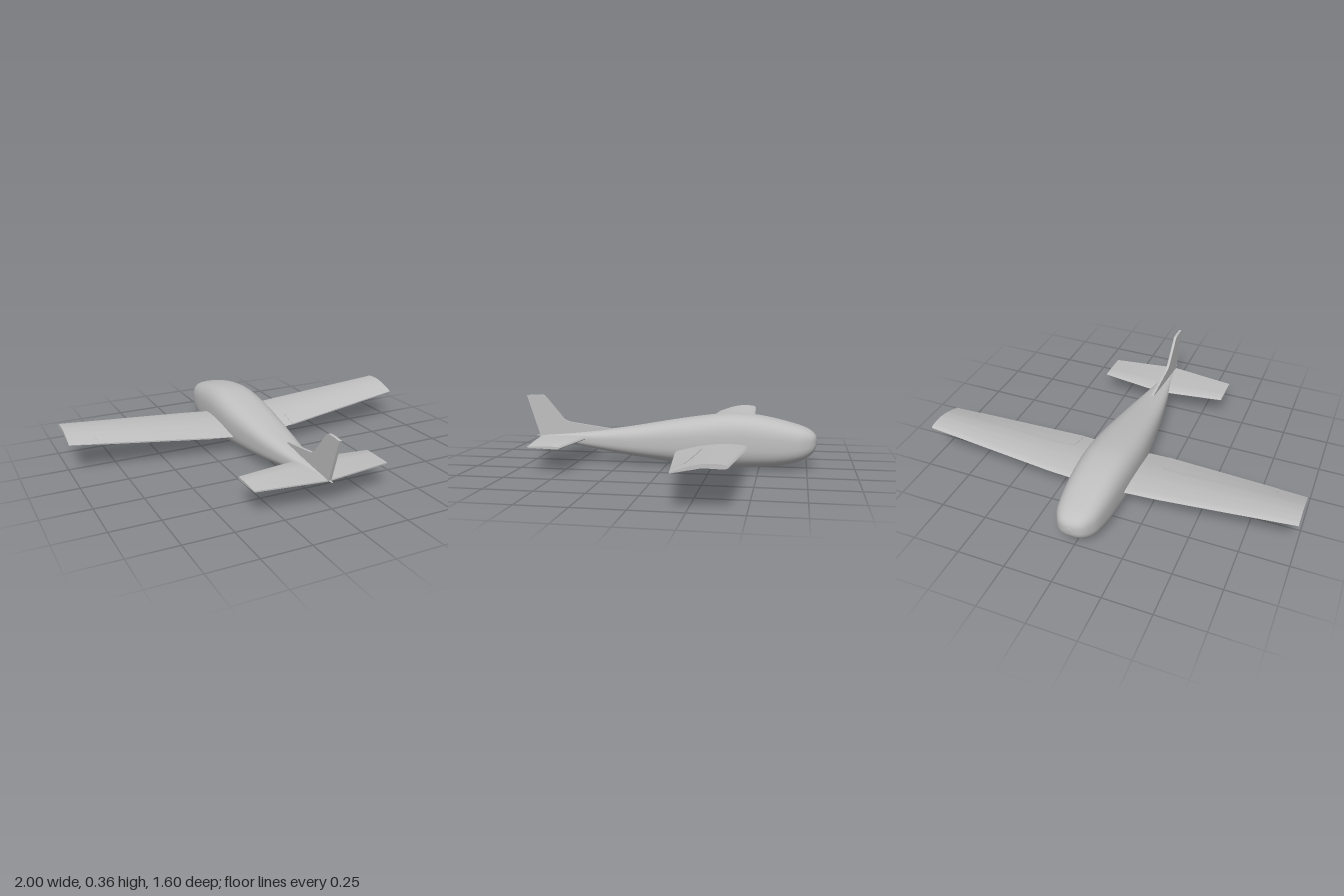
import * as THREE from 'three';
import { toCreasedNormals } from 'three/addons/utils/BufferGeometryUtils.js';

const paint = new THREE.MeshStandardMaterial({ color: 0xbfbfbf });
paint.name = 'light grey';

// Closed skin through equal-length rings, with both ends capped.
function loft(rings, crease) {
  const n = rings[0].length, pos = [], idx = [];
  for (const ring of rings) for (const p of ring) pos.push(...p);
  for (let i = 0; i < rings.length - 1; i++) {
    for (let j = 0; j < n; j++) {
      const a = i * n + j, b = i * n + (j + 1) % n;
      idx.push(a, b, a + n, b, b + n, a + n);
    }
  }
  const cap = (ring, base, flip) => {
    const c = [0, 1, 2].map(k => ring.reduce((s, p) => s + p[k], 0) / n);
    const centre = pos.length / 3;
    pos.push(...c);
    for (let j = 0; j < n; j++) {
      const a = base + j, b = base + (j + 1) % n;
      idx.push(centre, flip ? b : a, flip ? a : b);
    }
  };
  cap(rings[0], 0, true);
  cap(rings[rings.length - 1], (rings.length - 1) * n, false);

  // Turn the faces outward whatever direction the rings run in.
  const v = k => new THREE.Vector3().fromArray(pos, k * 3);
  let volume = 0;
  for (let i = 0; i < idx.length; i += 3) volume += v(idx[i]).dot(v(idx[i + 1]).cross(v(idx[i + 2])));
  if (volume < 0) idx.reverse();

  const g = new THREE.BufferGeometry();
  g.setAttribute('position', new THREE.Float32BufferAttribute(pos, 3));
  g.setIndex(idx);
  if (crease) return toCreasedNormals(g, crease);
  g.computeVertexNormals();
  return g;
}

function add(group, name, geometry) {
  const mesh = new THREE.Mesh(geometry, paint);
  mesh.name = name;
  group.add(mesh);
}

// Piecewise linear lookup in a list of [position, value].
function lookup(table, t) {
  let i = 0;
  while (i < table.length - 2 && t > table[i + 1][0]) i++;
  const [a, b] = [table[i], table[i + 1]];
  return THREE.MathUtils.lerp(a[1], b[1], (t - a[0]) / (b[0] - a[0]));
}

// Fuselage: z, bottom, top and half width at each station.
function fuselage() {
  const stations = [
    [-0.8, 0.142, 0.148, 0.004], [-0.795, 0.112, 0.173, 0.035], [-0.78, 0.086, 0.193, 0.064],
    [-0.75, 0.06, 0.212, 0.088], [-0.7, 0.036, 0.23, 0.109], [-0.6, 0.013, 0.256, 0.125],
    [-0.5, 0.004, 0.275, 0.133], [-0.4, 0, 0.284, 0.138], [-0.3, 0.002, 0.281, 0.14],
    [-0.15, 0.008, 0.261, 0.136], [0, 0.02, 0.236, 0.122], [0.2, 0.043, 0.2, 0.098],
    [0.4, 0.072, 0.17, 0.065], [0.6, 0.106, 0.147, 0.024], [0.75, 0.133, 0.136, 0.003],
  ];
  const curve = pts => new THREE.CatmullRomCurve3(pts, false, 'catmullrom');
  const heights = curve(stations.map(s => new THREE.Vector3(s[0], s[1], s[2])));
  const widths = curve(stations.map(s => new THREE.Vector3(s[3], 0, 0)));
  const rings = [], steps = 70, sides = 48, power = 2 / 2.8;
  const soft = c => Math.sign(c) * Math.abs(c) ** power;
  for (let i = 0; i <= steps; i++) {
    const h = heights.getPoint(i / steps), w = widths.getPoint(i / steps).x;
    const ring = [];
    for (let j = 0; j < sides; j++) {
      const a = j / sides * Math.PI * 2;
      ring.push([w * soft(Math.cos(a)), (h.y + h.z) / 2 + (h.z - h.y) / 2 * soft(Math.sin(a)), h.x]);
    }
    rings.push(ring);
  }
  return loft(rings);
}

// Wing planform along the span and cambered section along the chord.
const leading = [[0, -0.444], [0.3, -0.447], [0.5, -0.441], [1, -0.425]];
const trailing = [[0, -0.074], [0.15, -0.075], [0.25, -0.081], [1, -0.18]];
const upper = [[0, 0], [0.02, 0.006], [0.08, 0.011], [0.22, 0.0145], [0.4, 0.0135], [0.6, 0.005], [0.8, -0.011], [1, -0.03]];
const lower = [[0, 0], [0.02, -0.005], [0.08, -0.008], [0.22, -0.007], [0.4, -0.006], [0.6, -0.01], [0.8, -0.019], [1, -0.033]];

// Section loop at x, starting at chord fraction c0, grown by a small offset.
function wingRing(x, c0, grow) {
  const z0 = lookup(leading, x), z1 = lookup(trailing, x);
  const y0 = 0.115 + 0.08 * x, ring = [], n = 20;
  const point = (table, c, d) => ring.push([x, y0 + lookup(table, c) + d, z0 + (z1 - z0) * c]);
  for (let i = 0; i <= n; i++) point(upper, c0 + (1 - c0) * (i / n) ** 1.6, grow);
  for (let i = n; i >= (c0 ? 0 : 1); i--) point(lower, c0 + (1 - c0) * (i / n) ** 1.6, -grow);
  return ring;
}

function wing() {
  return loft([0, 0.15, 0.25, 0.3, 0.5, 0.75, 1].map(x => wingRing(x, 0, 0)), 0.6);
}

// Flap panel with rounded front corners, just proud of the wing.
function flap() {
  const front = [[0.25, -0.18], [0.252, -0.19], [0.26, -0.203], [0.275, -0.212], [0.3, -0.22], [0.35, -0.23],
    [0.5, -0.234], [0.65, -0.231], [0.82, -0.225], [0.84, -0.222], [0.851, -0.214], [0.855, -0.208]];
  return loft(front.map(([x, z]) => {
    const z0 = lookup(leading, x), z1 = lookup(trailing, x);
    return wingRing(x, (z - z0) / (z1 - z0), 0.002);
  }), 0.6);
}

// Tailplane half: thin section with a rounded leading edge and tip.
function tailplane() {
  const section = [[0, 0], [0.02, 0.6], [0.07, 1], [0.35, 1], [1, 0.35]];
  const rings = [[0, 0.442, 0.72, 1], [0.355, 0.493, 0.672, 1], [0.364, 0.496, 0.67, 0.7]].map(([x, z0, z1, s]) => {
    const at = side => ([c, t]) => [x, 0.132 + side * t * s * 0.0095, z0 + (z1 - z0) * c];
    return [...section.map(at(1)), ...section.slice(1).reverse().map(at(-1))];
  });
  return loft(rings, 0.6);
}

// Swept fin with a long fillet running into the back.
function fin() {
  const s = new THREE.Shape();
  s.moveTo(0.725, 0.132);
  s.lineTo(0.8, 0.36);
  s.quadraticCurveTo(0.75, 0.367, 0.71, 0.364);
  s.quadraticCurveTo(0.698, 0.362, 0.688, 0.35);
  s.lineTo(0.59, 0.235);
  s.quadraticCurveTo(0.576, 0.22, 0.55, 0.215);
  s.lineTo(0.32, 0.184);
  s.lineTo(0.4, 0.14);
  const g = new THREE.ExtrudeGeometry(s, { depth: 0.015, bevelEnabled: false, curveSegments: 8 });
  g.translate(0, 0, -0.0075).rotateY(-Math.PI / 2);
  return g;
}

// Opposite-hand copy across x = 0, keeping faces outward.
function mirrored(geometry) {
  const g = geometry.clone().scale(-1, 1, 1);
  for (const name of ['position', 'normal']) {
    const a = g.getAttribute(name).array;
    for (let i = 0; i < a.length; i += 9) {
      for (let k = 0; k < 3; k++) [a[i + 3 + k], a[i + 6 + k]] = [a[i + 6 + k], a[i + 3 + k]];
    }
  }
  return g;
}

export function createModel() {
  const plane = new THREE.Group();
  plane.name = 'airplane';
  add(plane, 'fuselage', fuselage());
  add(plane, 'fin', fin());
  for (const [name, build] of [['Wing', wing], ['Flap', flap], ['Tailplane', tailplane]]) {
    const g = build();
    add(plane, 'left' + name, g);
    add(plane, 'right' + name, mirrored(g));
  }
  return plane;
}
